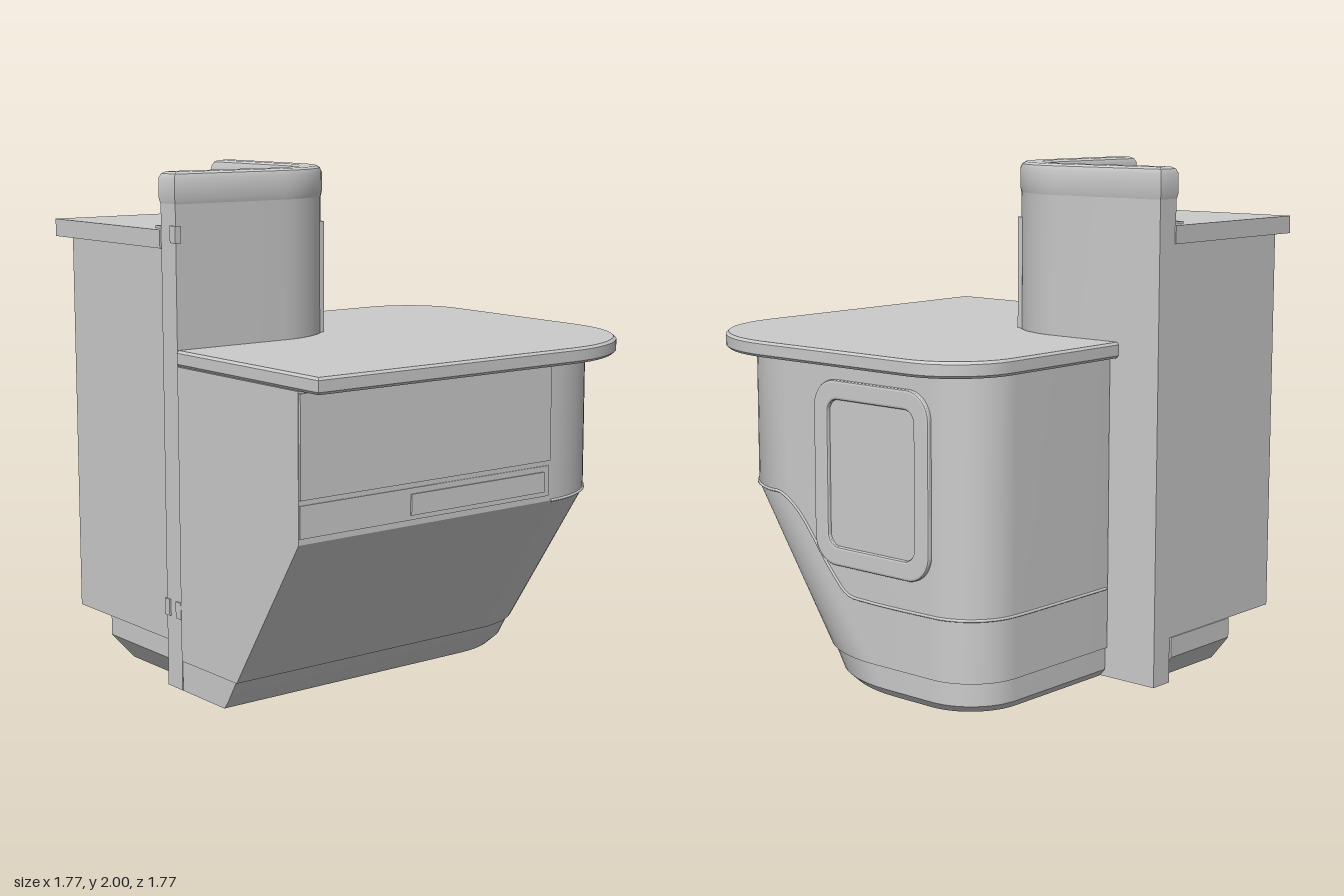
import * as THREE from 'three';
import { toCreasedNormals } from 'three/addons/utils/BufferGeometryUtils.js';

const grey = new THREE.MeshStandardMaterial({ color: 0xcccccc });

// Points along an arc in plan (x, z), angles in degrees
function arc(cx, cz, rx, rz, from, to, steps = 16) {
  const pts = [];
  for (let i = 0; i <= steps; i++) {
    const a = THREE.MathUtils.degToRad(from + ((to - from) * i) / steps);
    pts.push([cx + rx * Math.cos(a), cz + rz * Math.sin(a)]);
  }
  return pts;
}

// Closed solid through plan outlines stacked at heights: rings = [[y, points], ...]
function loft(rings) {
  const pos = [];
  const put = (y, p) => pos.push(p[0], y, p[1]);
  for (let k = 0; k < rings.length - 1; k++) {
    const [y0, a] = rings[k];
    const [y1, b] = rings[k + 1];
    for (let i = 0; i < a.length; i++) {
      const j = (i + 1) % a.length;
      put(y0, a[i]); put(y0, a[j]); put(y1, b[j]);
      put(y0, a[i]); put(y1, b[j]); put(y1, b[i]);
    }
  }
  for (const [ring, up] of [[rings[0], false], [rings[rings.length - 1], true]]) {
    const [y, p] = ring;
    const contour = p.map(([x, z]) => new THREE.Vector2(x, z));
    for (const [a, b, c] of THREE.ShapeUtils.triangulateShape(contour, [])) {
      const cross = (p[b][0] - p[a][0]) * (p[c][1] - p[a][1]) - (p[b][1] - p[a][1]) * (p[c][0] - p[a][0]);
      const facesUp = cross < 0;
      put(y, p[a]);
      put(y, p[facesUp === up ? b : c]);
      put(y, p[facesUp === up ? c : b]);
    }
  }
  const g = new THREE.BufferGeometry();
  g.setAttribute('position', new THREE.Float32BufferAttribute(pos, 3));
  return toCreasedNormals(g, 0.5);
}

// Desk plan: straight front, two rounded back corners, concave curve against the wall
function deskPlan({ right, left, back, rx, rz, rl, front = 0.88 }) {
  return [
    [0, front], [right, front],
    ...arc(right - rx, back + rz, rx, rz, 0, -90),
    ...arc(left + rl, back + rl, rl, rl, -90, -180),
    [left, 0],
    ...arc(-0.38, 0.38, 0.38, 0.38, -90, 0),
  ];
}

// Curved L-shaped wall plan, shrunk by e on every side
function wallPlan(e) {
  return [
    [-e, 0.88 - e],
    ...arc(-0.38, 0.38, 0.38 - e, 0.38 - e, 0, -90),
    [-0.89 + e, e], [-0.89 + e, 0.11 - e],
    ...arc(-0.38, 0.38, 0.27 + e, 0.27 + e, -90, 0),
    [-0.11 + e, 0.88 - e],
  ];
}

// Cabinet plinth plan with its outer corner cut off
const plinthPlan = (e) => [
  [-0.11, 0.86 - e], [-0.11, 0.11], [-0.89 + e, 0.11], [-0.89 + e, 0.5], [-0.55 + e * 0.5, 0.86 - e],
];

function roundedRect(path, w, h, r) {
  const x = w / 2, y = h / 2;
  path.absarc(x - r, y - r, r, 0, Math.PI / 2);
  path.absarc(-x + r, y - r, r, Math.PI / 2, Math.PI);
  path.absarc(-x + r, -y + r, r, Math.PI, Math.PI * 1.5);
  path.absarc(x - r, -y + r, r, Math.PI * 1.5, Math.PI * 2);
  path.closePath();
  return path;
}

export function createModel() {
  const model = new THREE.Group();
  const add = (name, geometry) => {
    const mesh = new THREE.Mesh(geometry, grey);
    mesh.name = name;
    model.add(mesh);
    return mesh;
  };
  // Box given by its limits on each axis
  const box = (name, x0, x1, y0, y1, z0, z1) =>
    add(name, new THREE.BoxGeometry(x1 - x0, y1 - y0, z1 - z0))
      .position.set((x0 + x1) / 2, (y0 + y1) / 2, (z0 + z1) / 2);

  // Desk: body sloping in to a narrow foot on its left side
  const body = { left: -0.66, back: -0.77, rz: 0.43, rl: 0.22 };
  const wide = deskPlan({ ...body, right: 0.762, rx: 0.43 });
  const foot = deskPlan({ ...body, right: 0.37, rx: 0.5 });
  add('deskBody', loft([[0.12, foot], [0.72, wide], [1.27, wide]]));
  const kick = { left: -0.65, back: -0.76, rz: 0.42, rl: 0.22, rx: 0.49, front: 0.875 };
  add('deskBase', loft([
    [0, deskPlan({ ...kick, right: 0.28, back: -0.735, left: -0.625 })],
    [0.03, deskPlan({ ...kick, right: 0.305 })],
    [0.12, deskPlan({ ...kick, right: 0.36 })],
  ]));

  // Countertop with softened edges
  const top = (e) => deskPlan({
    right: 0.88 - e, left: -0.7 + e, back: -0.89 + e, rx: 0.54, rz: 0.54, rl: 0.27, front: 0.88 - e,
  });
  add('countertop', loft([[1.27, top(0.008)], [1.28, top(0)], [1.322, top(0)], [1.332, top(0.008)]]));

  // Side panels with grooves between them
  box('sideUpperPanel', 0.75, 0.772, 0.882, 1.262, -0.33, 0.877);
  box('sideBand', 0.75, 0.766, 0.742, 0.862, -0.33, 0.877);
  box('sideInsert', 0.75, 0.772, 0.76, 0.84, -0.3, 0.37);

  // Trim line running round the corner and dropping across the back
  const seam = arc(0.332, -0.34, 0.43, 0.43, 0, -85, 8).map(([x, z]) => new THREE.Vector3(x, 0.72, z));
  for (const [x, y] of [[0.27, 0.66], [0.08, 0.44], [0, 0.37], [-0.1, 0.36], [-0.43, 0.36]]) {
    seam.push(new THREE.Vector3(x, y, -0.77));
  }
  for (const [x, z] of arc(-0.44, -0.55, 0.22, 0.22, -100, -180, 6)) seam.push(new THREE.Vector3(x, 0.36, z));
  seam.push(new THREE.Vector3(-0.66, 0.36, -0.01));
  add('backTrim', new THREE.TubeGeometry(new THREE.CatmullRomCurve3(seam, false, 'centripetal'), 90, 0.006, 6));

  // Framed window on the back
  const frameShape = roundedRect(new THREE.Shape(), 0.58, 0.7, 0.1);
  frameShape.holes.push(roundedRect(new THREE.Path(), 0.47, 0.59, 0.06));
  const frame = add('windowFrame', new THREE.ExtrudeGeometry(frameShape, {
    depth: 0.012, bevelThickness: 0.006, bevelSize: 0.01, bevelSegments: 2, curveSegments: 8,
  }));
  frame.position.set(-0.14, 0.84, -0.782);
  const pane = add('windowPane', new THREE.ShapeGeometry(roundedRect(new THREE.Shape(), 0.5, 0.62, 0.06), 8));
  pane.rotation.y = Math.PI;
  pane.position.set(-0.14, 0.84, -0.773);

  // Tall curved wall with a moulded cap
  add('wall', loft([[0, wallPlan(0.005)], [1.89, wallPlan(0.005)]]));
  add('wallCap', loft([
    [1.88, wallPlan(0.004)], [1.9, wallPlan(0)], [1.975, wallPlan(0)], [1.992, wallPlan(0.008)], [2, wallPlan(0.022)],
  ]));

  // Small fittings on the wall end
  box('upperFitting', -0.035, 0.001, 1.735, 1.8, 0.855, 0.882);
  box('lowerFittingInner', -0.111, -0.078, 0.285, 0.35, 0.855, 0.882);
  box('lowerFittingOuter', -0.035, 0.001, 0.285, 0.35, 0.855, 0.882);

  // Cabinet inside the wall: carcass, door, top and plinth
  box('cabinetBody', -0.885, -0.108, 0.18, 1.71, 0.1, 0.78);
  box('cabinetDoor', -0.78, -0.11, 0.18, 1.71, 0.77, 0.865);
  box('cabinetTop', -0.89, -0.108, 1.71, 1.78, 0.1, 0.88);
  add('cabinetCorner', loft([[1.71, 0], [1.78, 0]].map(([y]) => [y, [
    [-0.11, 0.38], ...arc(-0.38, 0.38, 0.27, 0.27, 0, -90).slice(1), [-0.38, 0.38],
  ]])));
  box('topStripBack', -0.85, -0.38, 1.78, 1.79, 0.105, 0.2);
  box('topStripSide', -0.2, -0.105, 1.78, 1.79, 0.4, 0.84);
  add('cabinetPlinth', loft([[0, plinthPlan(0.08)], [0.1, plinthPlan(0)], [0.18, plinthPlan(0)]]));

  return model;
}
